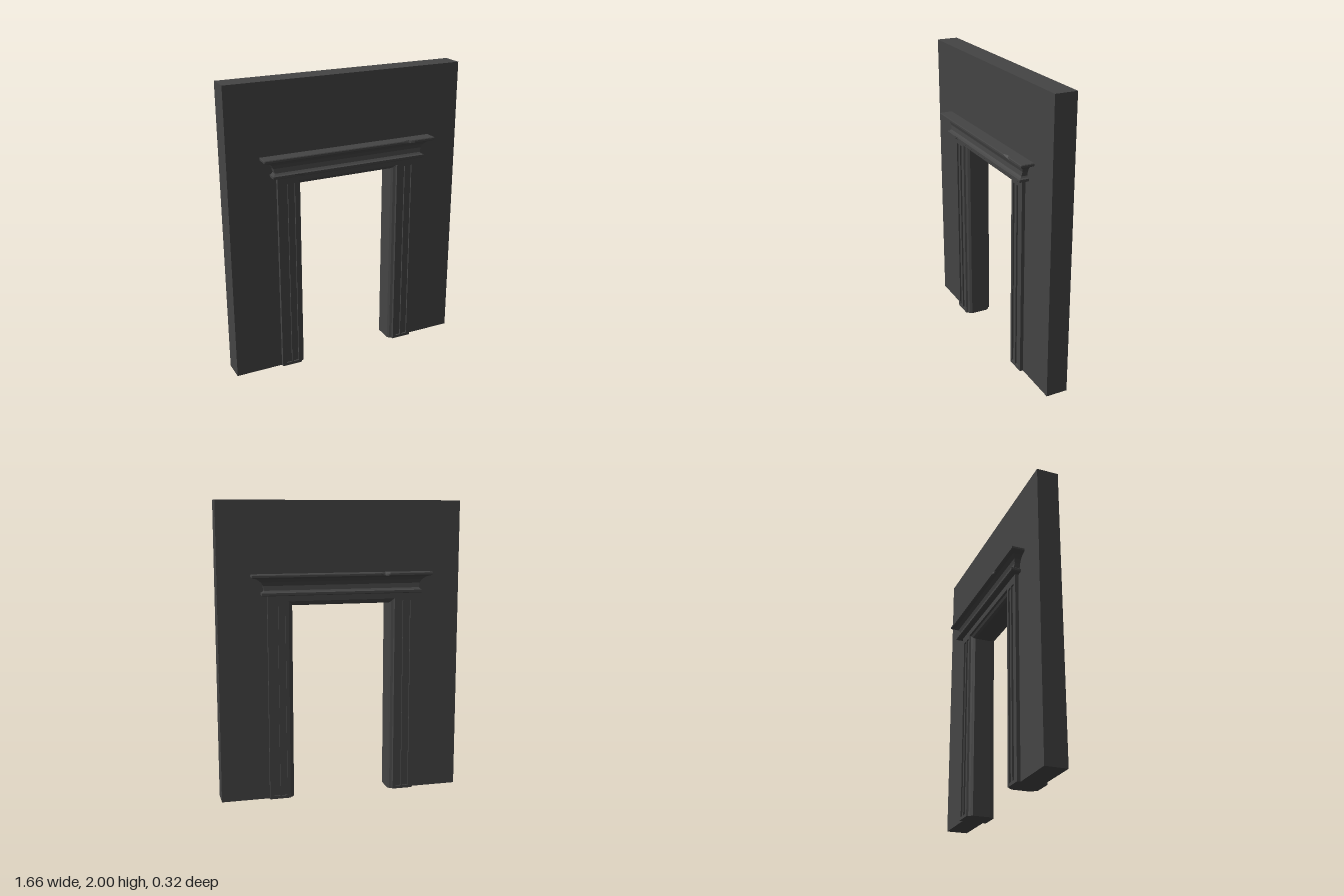
import * as THREE from 'three';

const material = new THREE.MeshStandardMaterial({ color: 0x444444, flatShading: true, side: THREE.DoubleSide });

function add(group, name, geometry) {
  const mesh = new THREE.Mesh(geometry, material);
  mesh.name = name;
  group.add(mesh);
  return mesh;
}

// Upside-down U: a slab outline with a doorway cut up from the floor
function archShape(halfW, top, openHalf, openTop) {
  return new THREE.Shape([
    [-halfW, 0], [-openHalf, 0], [-openHalf, openTop], [openHalf, openTop],
    [openHalf, 0], [halfW, 0], [halfW, top], [-halfW, top],
  ].map(([x, y]) => new THREE.Vector2(x, y)));
}

function slab(shape, z0, z1) {
  const g = new THREE.ExtrudeGeometry(shape, { depth: z1 - z0, bevelEnabled: false });
  return g.translate(0, 0, z0);
}

// Joins rows of equal point count into a surface
function loft(rows, closed) {
  const n = rows[0].length, index = [];
  for (let r = 0; r + 1 < rows.length; r++)
    for (let i = 0; i < (closed ? n : n - 1); i++) {
      const a = r * n + i, b = r * n + (i + 1) % n;
      index.push(a, a + n, b, b, a + n, b + n);
    }
  const g = new THREE.BufferGeometry();
  g.setAttribute('position', new THREE.Float32BufferAttribute(rows.flat(2), 3));
  g.setIndex(index);
  g.computeVertexNormals();
  return g;
}

// Cornice: mitred rectangles stacked along a moulding profile, with chipped edges
function cornice() {
  const profile = [ // y, half width, half depth, lip chip, lower chip
    [1.385, 0.54, 0.132, 0, 0.012], [1.39, 0.547, 0.138, 0, 0.012],
    [1.405, 0.547, 0.138, 0, 0], [1.41, 0.535, 0.125, 0, 0],
    [1.42, 0.528, 0.115, 0, 0], [1.45, 0.535, 0.111, 0, 0],
    [1.475, 0.55, 0.119, 0, 0], [1.495, 0.575, 0.136, 0, 0],
    [1.503, 0.605, 0.155, 0, 0], [1.508, 0.612, 0.162, 0.006, 0],
    [1.52, 0.612, 0.162, 0.014, 0], [1.525, 0.609, 0.159, 0.014, 0],
  ];
  const rows = profile.map(([y, w, d, lip, low]) => [
    [-w, y, d], [-0.42, y, d], [-0.37, y, d - low], [-0.33, y, d],
    [0.375, y, d], [0.42, y, d - lip], [0.46, y, d], [w, y, d],
    [w, y, -d], [-0.25, y, -d], [-0.28, y, lip - d], [-0.31, y, -d], [-w, y, -d],
  ]);
  // close the underside and top onto the wall's centre line
  const flat = (row) => row.map(([x, y]) => [x, y, 0]);
  const last = rows[rows.length - 1];
  const g = loft([flat(rows[0]), ...rows, flat(last)], true);
  // loft runs upward, so reverse to face outward
  const idx = g.index.array;
  for (let i = 0; i < idx.length; i += 3) [idx[i + 1], idx[i + 2]] = [idx[i + 2], idx[i + 1]];
  g.computeVertexNormals();
  return g;
}

export function createModel() {
  const model = new THREE.Group();
  model.name = 'doorwayWall';

  add(model, 'wall', slab(archShape(0.83, 2, 0.365, 1.345), -0.074, 0.074));
  add(model, 'doorFrame', slab(archShape(0.505, 1.4, 0.365, 1.345), -0.086, 0.086));

  // Face plates with two sunken flutes on each pilaster
  for (const [name, z0, z1] of [['frontFacing', 0.086, 0.097], ['backFacing', -0.097, -0.086]]) {
    const shape = archShape(0.505, 1.4, 0.365, 1.345);
    for (const side of [-1, 1])
      for (const [x0, x1] of [[0.386, 0.425], [0.435, 0.477]]) {
        const a = side * x0, b = side * x1;
        shape.holes.push(new THREE.Path([
          new THREE.Vector2(a, 0.02), new THREE.Vector2(b, 0.02),
          new THREE.Vector2(b, 1.33), new THREE.Vector2(a, 1.33),
        ]));
      }
    add(model, name, slab(shape, z0, z1));
  }

  // Lining moulding swept up one jamb, across the head and down the other
  const half = [[0.03, 0.097], [0.026, 0.084], [0.01, 0.076], [0, 0.06]]; // offset from opening, z
  const profile = [...half, ...half.map(([d, z]) => [d, -z]).reverse()];
  const path = [[-1, 0], [-1, 1], [1, 1], [1, 0]];
  const rows = path.map(([sx, up]) =>
    profile.map(([d, z]) => [sx * (0.335 + d), up * (1.315 + d), z]));
  add(model, 'openingMoulding', loft(rows, false));

  // Undersides of the moulding at the floor
  for (const side of [-1, 1]) {
    const foot = new THREE.Shape(profile.map(([d, z]) => new THREE.Vector2(side * (0.335 + d), z)));
    add(model, 'mouldingFoot', new THREE.ShapeGeometry(foot).rotateX(Math.PI / 2));
  }

  add(model, 'cornice', cornice());
  return model;
}
